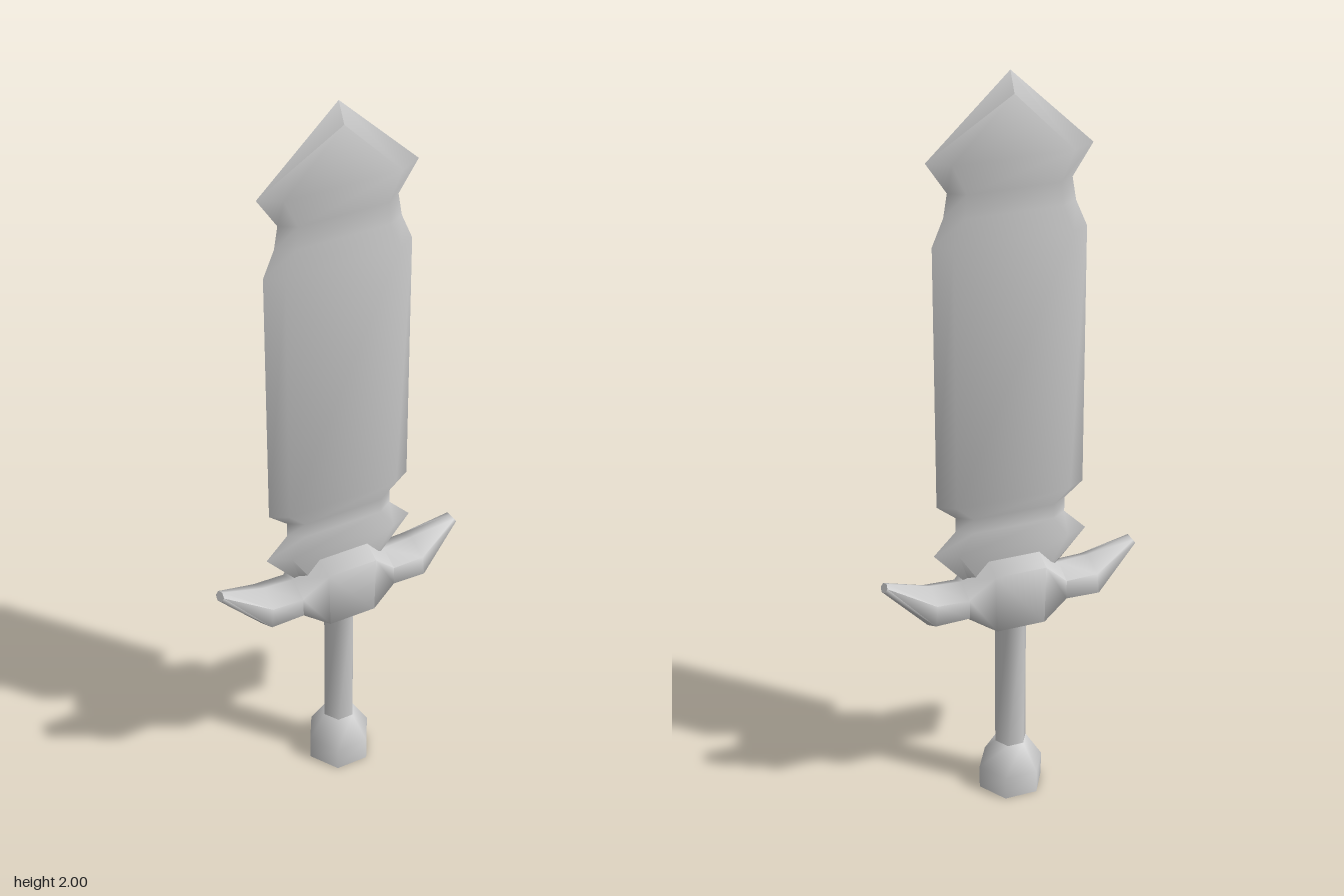
import * as THREE from 'three';
import { toCreasedNormals } from 'three/addons/utils/BufferGeometryUtils.js';

const material = new THREE.MeshStandardMaterial({ color: 0xcccccc });

// Skin a list of equal-sized rings (counter-clockwise about the loft direction) and close both ends.
function loft(name, rings) {
  const n = rings[0].length, last = (rings.length - 1) * n, index = [];
  for (let k = 0; k < rings.length - 1; k++) {
    for (let i = 0; i < n; i++) {
      const a = k * n + i, b = k * n + (i + 1) % n;
      index.push(a, b, b + n, a, b + n, a + n);
    }
  }
  for (let i = 1; i < n - 1; i++) {
    index.push(0, i + 1, i, last, last + i, last + i + 1);
  }
  const geometry = new THREE.BufferGeometry();
  geometry.setAttribute('position', new THREE.Float32BufferAttribute(rings.flat(2), 3));
  geometry.setIndex(index);
  const mesh = new THREE.Mesh(toCreasedNormals(geometry, 1.2), material);
  mesh.name = name;
  return mesh;
}

// Blade section: sharp edges at half-width w, flat faces out to half-width f.
function bladeRing([y, w, f, faceY = y]) {
  const t = 0.026;
  return [[-f, faceY, t], [f, faceY, t], [w, y, 0], [f, faceY, -t], [-f, faceY, -t], [-w, y, 0]];
}

// Guard section: upright hexagon, s is how far its side corners sit from top and bottom.
function guardRing([xTop, top, xBottom, bottom, z, s]) {
  const at = (v, depth) => [
    THREE.MathUtils.lerp(xBottom, xTop, v), THREE.MathUtils.lerp(bottom, top, v), depth];
  return [at(1, 0), at(1 - s, z), at(s, z), at(0, 0), at(s, -z), at(1 - s, -z)];
}

// Regular hexagon with corners on the x axis.
function hexRing([y, r]) {
  return Array.from({ length: 6 }, (_, i) => {
    const a = Math.PI / 6 + i * Math.PI / 3;
    return [r * Math.sin(a), y, r * Math.cos(a)];
  });
}

export function createModel() {
  const group = new THREE.Group();
  group.name = 'sword';

  // Blade: edge height, edge half-width, face half-width, face height
  group.add(loft('blade', [
    [0.64, 0.11, 0.08],
    [0.75, 0.21, 0.15],
    [0.81, 0.15, 0.11],
    [0.85, 0.15, 0.11],
    [0.89, 0.2, 0.155],
    [1.59, 0.2, 0.155],
    [1.66, 0.17, 0.125],
    [1.72, 0.16, 0.12],
    [1.8, 0.213, 0.155, 1.795],
    [2, 0, 0, 1.95],
  ].map(bladeRing)));

  // Guard: one half from the centre to the wing tip, mirrored to the other side
  const half = [
    [0.07, 0.73, 0.065, 0.505, 0.076, 0.14],
    [0.135, 0.66, 0.135, 0.555, 0.058, 0.25],
    [0.22, 0.665, 0.23, 0.55, 0.058, 0.25],
    [0.338, 0.697, 0.352, 0.677, 0.017, 0.25],
  ];
  const mirrored = half.map(([xt, t, xb, ...rest]) => [-xt, t, -xb, ...rest]).reverse();
  group.add(loft('guard', [...mirrored, ...half].map(guardRing)));

  // Grip and flared pommel
  group.add(loft('grip', [[0.13, 0.044], [0.53, 0.044]].map(hexRing)));
  group.add(loft('pommel', [[0, 0.09], [0.065, 0.09], [0.14, 0.044]].map(hexRing)));

  return group;
}
